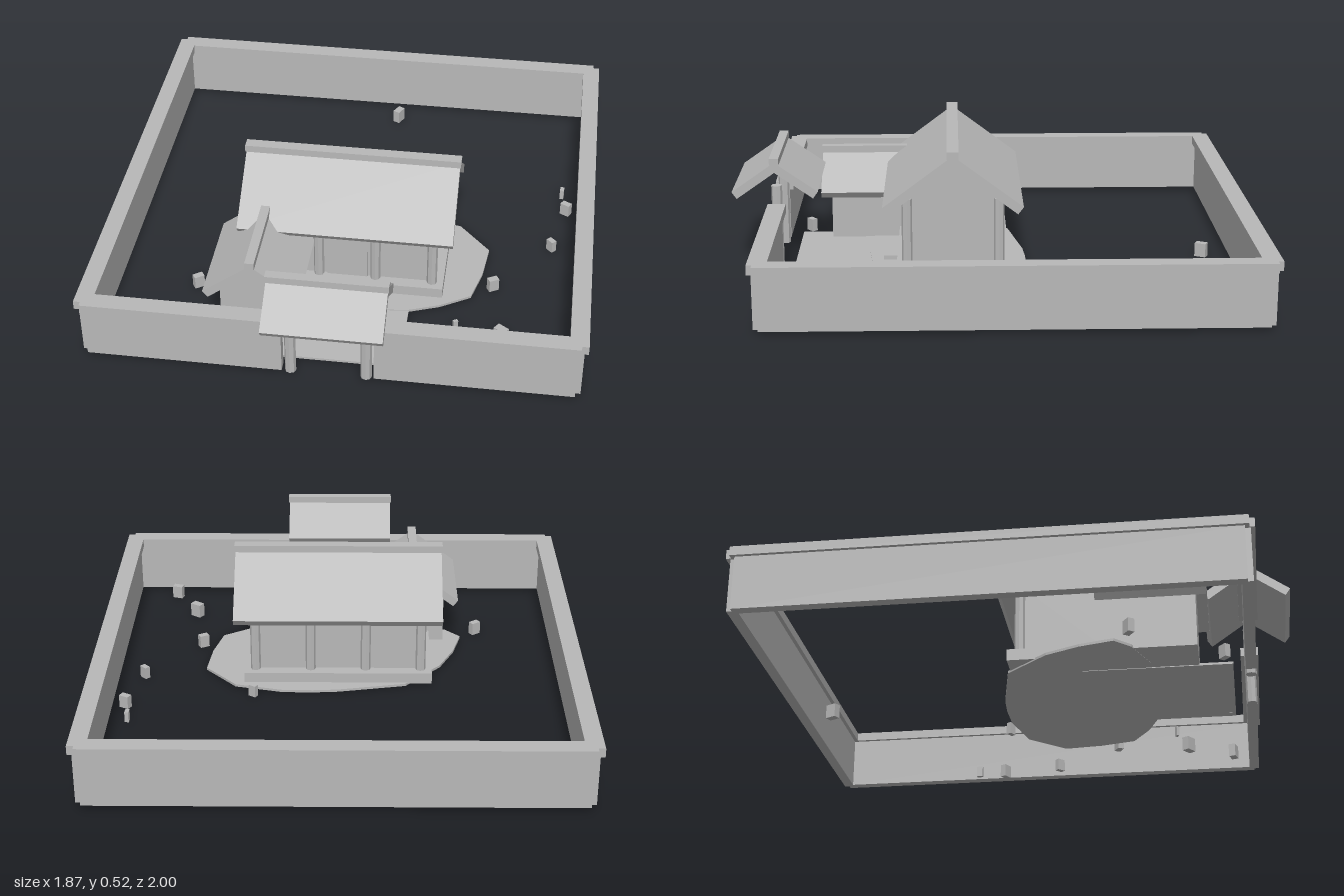
import * as THREE from 'three';

export function createModel() {
  const root = new THREE.Group();
  const grey = new THREE.MeshStandardMaterial({ color: 0xb8b8b8, flatShading: true });
  grey.name = 'plain grey';

  const add = (name, geo, parent = root) => {
    const m = new THREE.Mesh(geo, grey);
    m.name = name;
    parent.add(m);
    return m;
  };
  // Box given by its minimum and maximum corners
  const box = (name, x0, x1, y0, y1, z0, z1, parent) => {
    const m = add(name, new THREE.BoxGeometry(x1 - x0, y1 - y0, z1 - z0), parent);
    m.position.set((x0 + x1) / 2, (y0 + y1) / 2, (z0 + z1) / 2);
    return m;
  };
  const post = (name, x, z, y0, y1, r, parent) => {
    const m = add(name, new THREE.CylinderGeometry(r, r, y1 - y0, 8), parent);
    m.position.set(x, (y0 + y1) / 2, z);
  };
  // Outline extruded along z, centred on its length
  const prism = (points, length) => {
    const shape = new THREE.Shape(points.map(p => new THREE.Vector2(p[0], p[1])));
    return new THREE.ExtrudeGeometry(shape, { depth: length, bevelEnabled: false })
      .translate(0, 0, -length / 2);
  };
  // Pitched roof with its ridge along local z
  const roof = (parent, half, apex, slope, t, length, capWidth, capY0, capY1) => {
    const a = Math.atan(slope), eave = apex - half * slope;
    const ix = half - t * Math.sin(a), iy = eave - t * Math.cos(a);
    add('roof', prism([[0, apex], [-half, eave], [-ix, iy], [0, apex - t / Math.cos(a)],
      [ix, iy], [half, eave]], length), parent);
    const l = length / 2 + 0.004;
    box('ridgeCap', -capWidth / 2, capWidth / 2, capY0, capY1, -l, l, parent);
  };
  // Walls with a gable at both ends
  const gableBody = (parent, half, base, wallTop, apex, length) =>
    add('walls', prism([[-half, base], [half, base], [half, wallTop], [0, apex], [-half, wallTop]], length), parent);
  const building = (name, x, z, turn) => {
    const g = new THREE.Group();
    g.name = name;
    g.position.set(x, 0, z);
    g.rotation.y = turn;
    root.add(g);
    return g;
  };

  // Compound wall with overhanging cap, open at the gate
  const zBack = -0.965, zFront = 0.83, xSide = 0.9;
  const wallRun = (name, x0, x1, z0, z1, ox, oz) => {
    box(name, x0 - ox * 0.02, x1 + ox * 0.02, 0.015, 0.22, z0 - oz * 0.02, z1 + oz * 0.02);
    box(name + 'Cap', x0 - (ox ? 0.034 : 0.008), x1 + (ox ? 0.034 : 0.008), 0.22, 0.255,
      z0 - (oz ? 0.035 : 0.015), z1 + (oz ? 0.035 : 0.015));
  };
  for (const s of [-1, 1]) {
    wallRun('sideWall', s * xSide, s * xSide, zBack, zFront, 1, 0);
    wallRun('frontWall', s < 0 ? -xSide : 0.17, s < 0 ? -0.17 : xSide, zFront, zFront, 0, 1);
  }
  wallRun('backWall', -xSide, xSide, zBack, zBack, 0, 1);

  // Irregular yard paving and the entry terrace
  const yard = [[-0.51, 0.34], [-0.475, 0.21], [-0.415, 0.08], [-0.27, -0.08], [0, -0.13], [0.1, -0.137],
    [0.22, -0.135], [0.41, -0.09], [0.535, 0.05], [0.52, 0.2], [0.485, 0.34], [0.37, 0.41], [0.25, 0.455],
    [0, 0.48], [-0.3, 0.46], [-0.45, 0.4]];
  const paving = prism(yard.map(([x, z]) => [x, -z]), 0.01).rotateX(-Math.PI / 2);
  add('yardPaving', paving).position.y = 0.009;
  box('terrace', -0.255, 0.255, 0.002, 0.011, 0.2, 0.765);

  // Main house, ridge along x
  const house = building('mainHouse', 0, 0.148, Math.PI / 2);
  roof(house, 0.265, 0.508, 0.75, 0.035, 0.822, 0.044, 0.495, 0.523);
  gableBody(house, 0.17, 0.04, 0.335, 0.462, 0.66);
  box('plinth', -0.375, 0.375, 0.01, 0.055, -0.07, 0.365);
  box('step', -0.13, 0.13, 0.01, 0.03, 0.365, 0.42);
  box('door', -0.078, 0.078, 0.055, 0.25, 0.316, 0.325);
  for (const x of [-0.33, -0.11, 0.11, 0.33])
    for (const z of [-0.027, 0.323]) post('houseColumn', x, z, 0.05, 0.322, 0.02);

  // Side house, ridge along z
  const annex = building('sideHouse', -0.31, 0.475, 0);
  roof(annex, 0.183, 0.352, 0.75, 0.032, 0.41, 0.035, 0.34, 0.368);
  gableBody(annex, 0.125, 0.005, 0.218, 0.312, 0.33);

  // Roofed gateway
  const gate = building('gateway', 0, 0.83, Math.PI / 2);
  roof(gate, 0.165, 0.435, 0.7, 0.033, 0.436, 0.036, 0.425, 0.452);
  for (const x of [-0.14, 0.14]) post('gateColumn', x, 0.83, 0.005, 0.325, 0.021);

  // Standing stones: x, z, length, turn
  const stones = [[0.07, -0.84, 0.045, 1.1], [0.81, -0.36, 0.025, 1.5], [0.83, -0.25, 0.04, -0.5],
    [0.335, -0.155, 0.032, -0.6], [0.78, -0.005, 0.034, -0.8], [0.565, 0.27, 0.04, 0.5],
    [0.44, 0.52, 0.018, 0.5], [0.615, 0.56, 0.048, -0.6], [0.715, 0.745, 0.043, -0.3],
    [0.23, 0.745, 0.018, 0], [-0.575, 0.4, 0.04, 0.6], [-0.315, 0.735, 0.038, 0.7]];
  for (const [x, z, l, turn] of stones) {
    const h = 0.03 + l * 0.55;
    const m = add('stone', new THREE.BoxGeometry(l, h, l * 0.65));
    m.position.set(x, h / 2, z);
    m.rotation.y = turn;
  }
  return root;
}
